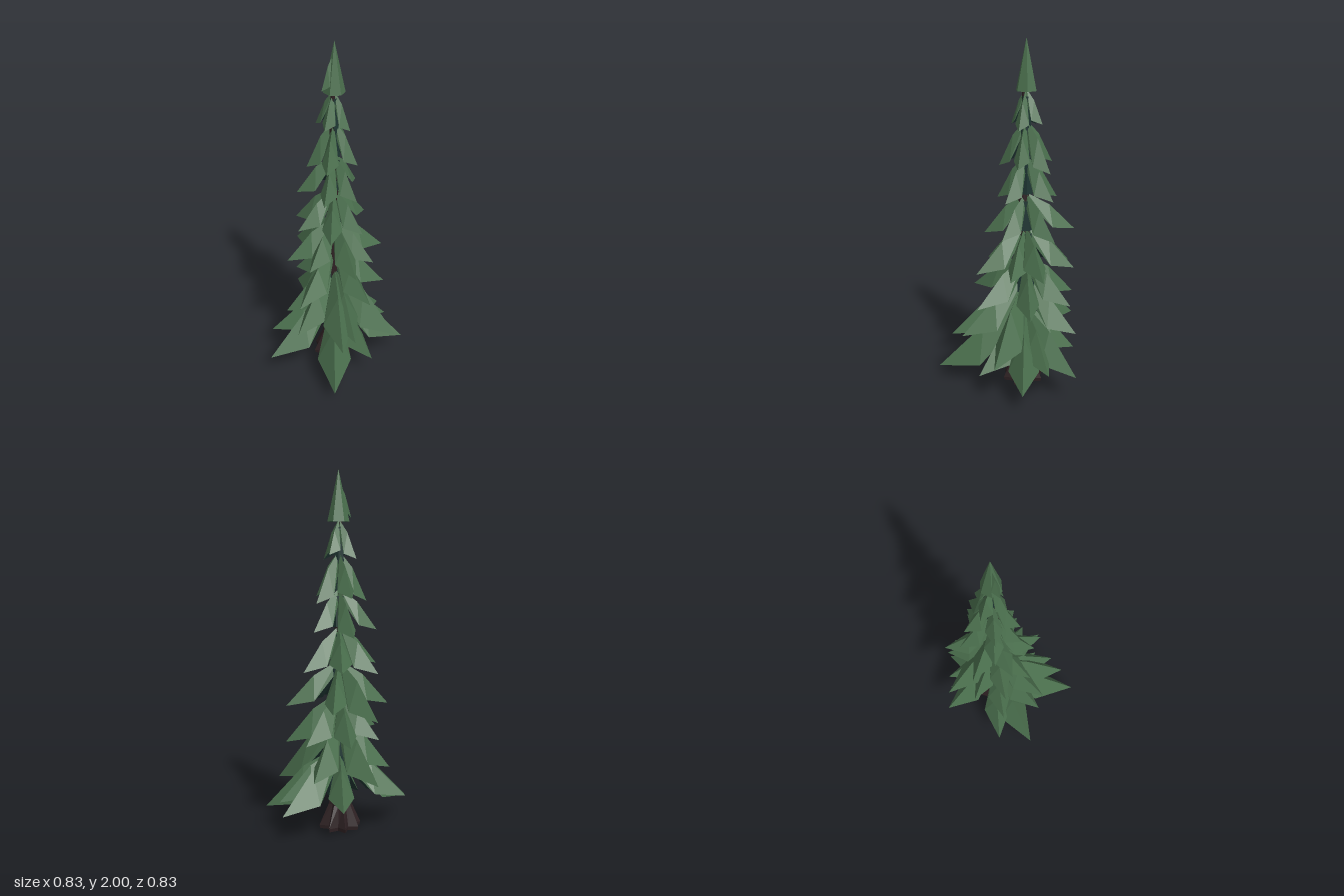
import * as THREE from 'three';

const AX = 0.02, AZ = -0.07; // the stem stands slightly off centre

const flat = (name, color) => {
  const m = new THREE.MeshStandardMaterial({ color, flatShading: true });
  m.name = name;
  return m;
};

function add(parent, name, geometry, material) {
  const mesh = new THREE.Mesh(geometry, material);
  mesh.name = name;
  parent.add(mesh);
  return mesh;
}

// Drooping bough: a folded, pointed roof (group 0) with a hollow underside (group 1)
function boughGeometry(tip, rootY, widen = 1) {
  const dx = tip[0] - AX, dz = tip[2] - AZ;
  const reach = Math.hypot(dx, dz), ux = dx / reach, uz = dz / reach;
  const drop = rootY - tip[1], w = (0.03 + 0.115 * reach) * widen;
  // r along the bough (0..1), h above the tip (0..1), s sideways
  const p = (r, h, s) => [AX + ux * r * reach - uz * s, tip[1] + h * drop, AZ + uz * r * reach + ux * s];
  const A = p(0.03, 1, 0), S = p(0.48, 0.68, 0), T = tip, K = p(0.46, 0.42, 0);
  const L = p(0.52, 0.13, -w), R = p(0.52, 0.13, w);
  const AL = p(0.1, 0.68, -w * 0.3), AR = p(0.1, 0.68, w * 0.3);
  const faces = [
    A, L, S, A, AL, L, S, L, T, // near slope
    A, S, R, A, R, AR, S, T, R, // far slope
    L, K, T, K, R, T, AL, K, L, K, AR, R, AL, AR, K, A, AR, AL, // underside and root
  ];
  const g = new THREE.BufferGeometry();
  g.setAttribute('position', new THREE.Float32BufferAttribute(faces.flat(), 3));
  g.addGroup(0, 18, 0);
  g.addGroup(18, 18, 1);
  g.computeVertexNormals();
  return g;
}

// Full lower tiers: height of the roots and the tips of the boughs
const lowerTiers = [
  { root: 0.47, tips: [[-0.415, 0.12, 0.035], [0.412, 0.11, 0.08], [-0.14, 0.08, 0.412], [0.38, 0.15, -0.25],
    [0.07, 0.18, -0.36], [-0.35, 0.18, -0.155], [0.15, 0.13, 0.25], [0.365, 0.18, -0.09]] },
  { root: 0.64, tips: [[-0.07, 0.31, 0.35], [-0.105, 0.33, -0.415], [-0.27, 0.32, 0.13], [0.312, 0.24, 0.21],
    [0.22, 0.34, -0.31], [-0.27, 0.34, -0.1], [0.02, 0.33, 0.31]] },
  { root: 0.78, tips: [[-0.26, 0.53, 0.155], [0.31, 0.5, 0], [0.13, 0.53, 0.25], [0.03, 0.53, -0.36],
    [0.25, 0.53, -0.26], [-0.16, 0.54, -0.25]] },
  { root: 0.96, tips: [[-0.26, 0.71, -0.085], [0.32, 0.72, -0.07], [-0.11, 0.67, -0.39], [0.05, 0.71, 0.23],
    [0.21, 0.7, 0.08], [0.12, 0.71, -0.33], [-0.18, 0.72, 0.09]] },
];
// Slim upper tiers: root, tip height, reach, angle of the gap, half width of the gap, count
const upperTiers = [
  [1.15, 0.92, 0.24, 0.3, 0.7, 6],
  [1.36, 1.12, 0.19, 0.25, 0.8, 5],
  [1.56, 1.3, 0.155, 1.4, 0.75, 5],
  [1.73, 1.53, 0.1, 1.6, 0.85, 4],
];

export function createModel() {
  const tree = new THREE.Group();
  tree.name = 'firTree';
  const needle = flat('needleGreen', 0x4b704e);
  const shade = flat('innerGreen', 0x1f3633);
  const bark = flat('darkBark', 0x2e2123);
  needle.side = shade.side = THREE.DoubleSide;
  const bough = [needle, shade];

  // Trunk with a flared, lobed foot
  const rings = [[0, 0.115], [0.02, 0.12], [0.14, 0.066], [0.3, 0.05], [1.0, 0.034], [1.78, 0.01]];
  const trunk = new THREE.CylinderGeometry(1, 1, 1, 16, rings.length - 1);
  const tp = trunk.attributes.position;
  for (let i = 0; i < tp.count; i++) {
    const ring = Math.round((tp.getY(i) + 0.5) * (rings.length - 1));
    const [y, r] = rings[ring];
    const a = Math.atan2(tp.getZ(i), tp.getX(i));
    const lobe = ring < 3 ? 1 - (ring < 2 ? 0.18 : 0.1) * (1 - Math.cos(8 * a)) : 1;
    const len = Math.hypot(tp.getX(i), tp.getZ(i)) * r * lobe;
    tp.setXYZ(i, AX - 0.008 + Math.cos(a) * len, y, AZ + 0.008 + Math.sin(a) * len);
  }
  trunk.computeVertexNormals();
  add(tree, 'trunk', trunk, bark);

  // Boughs, tier by tier
  const tiers = [...lowerTiers];
  for (const [root, y, reach, gap, half, n] of upperTiers) {
    const tips = [];
    for (let i = 0; i < n; i++) {
      const a = gap + half + (i / (n - 1)) * (Math.PI - half) * 2;
      const r = reach * (1 + 0.07 * Math.sin(i * 4.1 + root * 9) - 0.1 * Math.sin(a));
      tips.push([AX + Math.cos(a) * r, y + 0.015 * Math.sin(i * 3.7), AZ + Math.sin(a) * r]);
    }
    tiers.push({ root, tips });
  }
  tiers.forEach(({ root, tips }, k) => {
    const tier = new THREE.Group();
    tier.name = 'tier' + (k + 1);
    tree.add(tier);
    tips.forEach((tip, i) => add(tier, 'bough' + (i + 1), boughGeometry(tip, root, k < 2 ? 1.12 : 1), bough));

    // Dark foliage close to the stem
    const r = 0.07 - 0.006 * k, h = k === 0 ? 0.24 : 0.17;
    const core = new THREE.CylinderGeometry(r * 0.8, r, h, 6, 1, true);
    core.rotateY(k * 0.7);
    core.translate(AX, root - 0.04 - h / 2, AZ);
    add(tier, 'innerFoliage', core, shade);
  });

  // Pointed crown with a dark underside
  const crown = new THREE.ConeGeometry(0.06, 0.28, 6, 1);
  crown.rotateY(0.3);
  crown.translate(AX + 0.003, 1.86, AZ);
  add(tree, 'crown', crown, [needle, needle, shade]);
  add(tree, 'crownSprig', boughGeometry([-0.055, 1.74, -0.05], 1.93, 0.6), bough);
  return tree;
}
